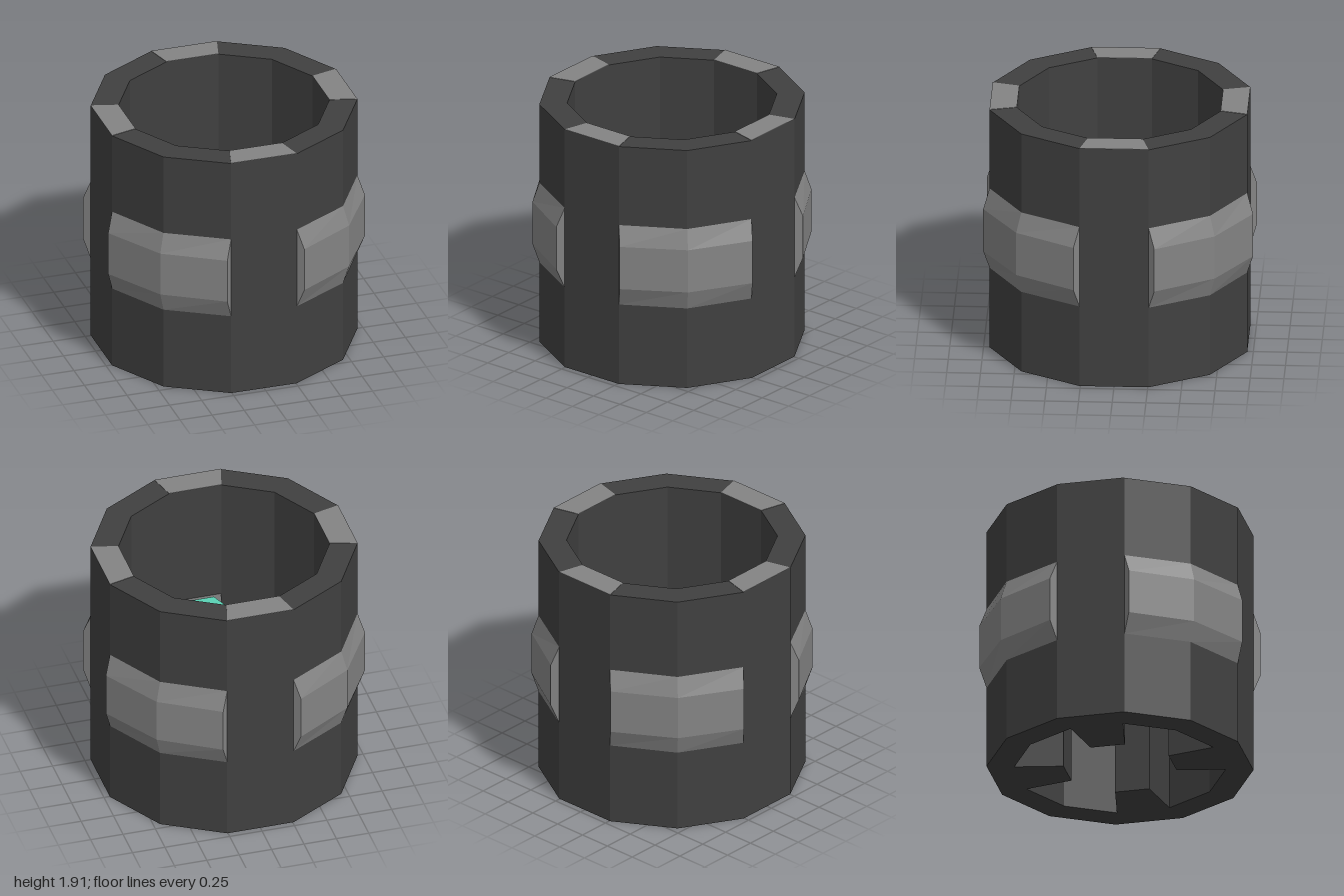
import * as THREE from 'three';

const H = 1.915, R_OUT = 0.989, R_IN = 0.782;
const DEG = Math.PI / 180;

const material = (name, color) => {
  const m = new THREE.MeshStandardMaterial({ color });
  m.name = name;
  return m;
};

function named(name, geometry, mat) {
  const mesh = new THREE.Mesh(geometry, mat);
  mesh.name = name;
  return mesh;
}

// Unshared vertices give every face a flat normal
function faceted(geometry) {
  const g = geometry.index ? geometry.toNonIndexed() : geometry;
  g.computeVertexNormals();
  return g;
}

// Plan-view points [x, z] as shape points that lie flat after rotateX(-90deg)
const plan = (pts) => pts.map(([x, z]) => new THREE.Vector2(x, -z));

const twelveGon = (r) => Array.from({ length: 12 }, (_, i) => {
  const a = (15 + 30 * i) * DEG;
  return [r * Math.sin(a), r * Math.cos(a)];
});

function slab(pts, height, hole) {
  const shape = new THREE.Shape(plan(pts));
  if (hole) shape.holes.push(new THREE.Path(plan(hole)));
  return new THREE.ExtrudeGeometry(shape, { depth: height, bevelEnabled: false }).rotateX(-Math.PI / 2);
}

// Raised panel that wraps two faces of the wall, with bevelled edges
function panelGeometry() {
  const base = [15, 45, 75].map((a) => [R_OUT, a * DEG]);
  const face = [[1.044, 16.7 * DEG], [1.04, 45 * DEG], [1.044, 73.3 * DEG]];
  const pos = [], idx = [];
  for (let i = 0; i < 3; i++) {
    const section = [[base[i], 0.64], [face[i], 0.79], [face[i], 1.13], [base[i], 1.28]];
    for (const [[r, a], y] of section) pos.push(r * Math.sin(a), y, r * Math.cos(a));
  }
  const quad = (a, b, c, d) => idx.push(a, b, c, a, c, d);
  for (let i = 0; i < 2; i++) {
    for (let j = 0; j < 3; j++) {
      const k = i * 4 + j;
      quad(k, k + 4, k + 5, k + 1);
    }
  }
  quad(0, 1, 2, 3);
  quad(11, 10, 9, 8);
  const g = new THREE.BufferGeometry();
  g.setAttribute('position', new THREE.Float32BufferAttribute(pos, 3));
  g.setIndex(idx);
  return faceted(g);
}

// Inner rib: tapers toward the centre and its top slopes down inward
function ribGeometry() {
  const g = new THREE.BoxGeometry(1, 1, 1);
  const p = g.attributes.position;
  for (let i = 0; i < p.count; i++) {
    const atWall = p.getZ(i) > 0;
    p.setXYZ(i,
      Math.sign(p.getX(i)) * (atWall ? 0.2 : 0.13),
      p.getY(i) < 0 ? 0 : (atWall ? 0.94 : 0.6),
      atWall ? 0.76 : 0.4);
  }
  return faceted(g);
}

export function createModel() {
  const dark = material('dark casing', 0x404040);
  const grey = material('grey trim', 0x848484);
  const teal = material('teal inlay', 0x5ad2b5);
  const group = new THREE.Group();
  group.name = 'ringCasing';

  // Twelve-sided hollow wall
  group.add(named('wall', slab(twelveGon(R_OUT), H - 0.003, twelveGon(R_IN)), dark));

  // Rim plates, side panels and ribs repeat every quarter turn
  const w = Math.sin(15 * DEG), d = Math.cos(15 * DEG);
  const rimPlate = slab([
    [-w * R_OUT, d * R_OUT], [w * R_OUT, d * R_OUT], [w * R_IN, d * R_IN], [-w * R_IN, d * R_IN],
  ], 0.003);
  const panel = panelGeometry();
  const rib = ribGeometry();
  for (let q = 0; q < 4; q++) {
    const quarter = new THREE.Group();
    quarter.name = 'quarter' + (q + 1);
    quarter.rotation.y = q * Math.PI / 2;
    const plate = named('rimPlate', rimPlate, grey);
    plate.position.y = H - 0.003;
    quarter.add(plate, named('sidePanel', panel, grey), named('innerRib', rib, dark));
    group.add(quarter);
  }

  // Flat inlay resting on the ribs, mirrored about x = 0
  const half = [
    [0.13, 0.71], [0.225, 0.475], [0.45, 0.415], [0.575, 0.065], [0.435, -0.105],
    [0.445, -0.36], [0.405, -0.62], [0.385, -0.72], [0.23, -0.72], [0.17, -0.63],
  ];
  const outline = [...half, [0, -0.36], ...half.map(([x, z]) => [-x, z]).reverse()];
  const inlay = named('inlay', new THREE.ShapeGeometry(new THREE.Shape(plan(outline))).rotateX(-Math.PI / 2), teal);
  inlay.position.y = 0.95;
  group.add(inlay);

  return group;
}
